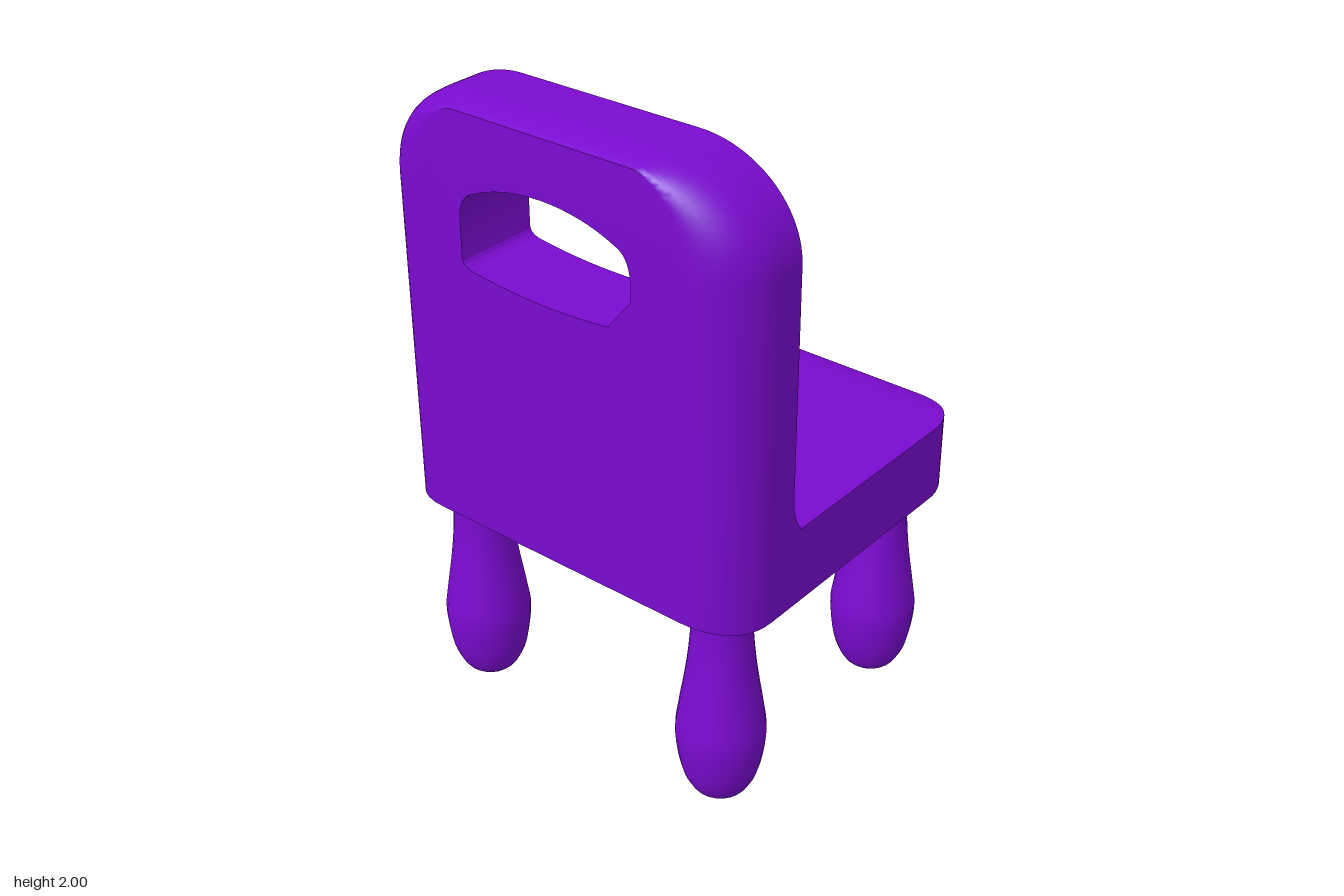
import * as THREE from 'three';
import { toCreasedNormals } from 'three/addons/utils/BufferGeometryUtils.js';

const W = 0.625, D = 0.57, R = 0.175; // half width, half depth, plan corner radius
const BASE = 0.68, SEAT = 0.92, TOP = 2.0;
const ARC_X = 0.3, ARC_Y = 1.72; // where the backrest's corner arcs begin

// Half width of the rounded plan outline at depth z
function halfWidth(z) {
  const t = Math.min(1, Math.max(0, (Math.abs(z) - (D - R)) / R));
  return W - R + R * Math.sqrt(1 - t * t);
}

// Extrudes a front outline along z, then rounds its plan corners and eases its end edges
function roundedSlab(shape, steps, zOf, ease) {
  const geo = new THREE.ExtrudeGeometry(shape, { depth: 1, steps, bevelEnabled: false, curveSegments: 16 });
  const p = geo.attributes.position;
  for (let i = 0; i < p.count; i++) {
    let x = p.getX(i), y = p.getY(i);
    const z = zOf(p.getZ(i));
    const ax = Math.abs(x);
    if (ax > ARC_X) x = Math.sign(x) * (ARC_X + (ax - ARC_X) * (halfWidth(z) - ARC_X) / (W - ARC_X));
    const t = Math.max(0, (Math.abs(z) - 0.46) / (D - 0.46));
    y = ease(y, 0.02 * t * t);
    p.setXYZ(i, x, y, z);
  }
  return toCreasedNormals(geo, 0.6);
}

function seatGeometry() {
  const s = new THREE.Shape();
  s.moveTo(-W, BASE);
  s.lineTo(W, BASE);
  s.lineTo(W, SEAT);
  s.lineTo(-W, SEAT);
  s.closePath();
  return roundedSlab(s, 28,
    u => -D + (D + 0.305) * (1 - Math.cos(u * Math.PI / 2)),
    (y, d) => (y < 0.8 ? y + d : y - d));
}

function backrestGeometry() {
  const s = new THREE.Shape();
  s.moveTo(-W, BASE);
  s.lineTo(W, BASE);
  s.lineTo(W, ARC_Y);
  s.absellipse(ARC_X, ARC_Y, W - ARC_X, TOP - ARC_Y, 0, Math.PI / 2, false);
  s.lineTo(-ARC_X, TOP);
  s.absellipse(-ARC_X, ARC_Y, W - ARC_X, TOP - ARC_Y, Math.PI / 2, Math.PI, false);
  s.closePath();

  // Hand hole with bowed top and bottom
  const h = new THREE.Path();
  h.moveTo(-0.26, 1.527);
  h.quadraticCurveTo(0, 1.491, 0.26, 1.527);
  h.quadraticCurveTo(0.293, 1.533, 0.293, 1.56);
  h.lineTo(0.293, 1.67);
  h.quadraticCurveTo(0.29, 1.74, 0.245, 1.757);
  h.bezierCurveTo(0.1, 1.826, -0.1, 1.826, -0.245, 1.757);
  h.quadraticCurveTo(-0.295, 1.74, -0.298, 1.67);
  h.lineTo(-0.298, 1.56);
  h.quadraticCurveTo(-0.298, 1.533, -0.26, 1.527);
  s.holes.push(h);

  return roundedSlab(s, 14,
    u => 0.305 + (D - 0.305) * Math.sin(u * Math.PI / 2),
    (y, d) => {
      if (y < 0.8) return y + d;
      return y > ARC_Y + 0.1 ? y - d * (y - ARC_Y - 0.1) / (TOP - ARC_Y - 0.1) : y;
    });
}

// Concave fillet between seat and backrest, drawn in (z, y) and run across x
function filletGeometry() {
  const s = new THREE.Shape();
  s.moveTo(0.268, SEAT);
  s.lineTo(0.305, SEAT);
  s.lineTo(0.305, 1.03);
  s.quadraticCurveTo(0.303, 0.965, 0.268, SEAT);
  const geo = new THREE.ExtrudeGeometry(s, { depth: 2 * W, bevelEnabled: false, curveSegments: 8 });
  geo.translate(0, 0, -W);
  geo.rotateY(-Math.PI / 2); // local x becomes z
  return toCreasedNormals(geo, 0.5);
}

// Turned leg, bulging near the foot
function legGeometry() {
  const curve = new THREE.SplineCurve([
    [0.05, 0], [0.085, 0.028], [0.116, 0.1], [0.132, 0.22], [0.122, 0.31],
    [0.102, 0.44], [0.09, 0.56], [0.085, 0.7],
  ].map(([r, y]) => new THREE.Vector2(r, y)));
  const profile = curve.getPoints(24);
  profile[0].y = 0;
  return new THREE.LatheGeometry([new THREE.Vector2(0, 0), ...profile], 24);
}

export function createModel() {
  const chair = new THREE.Group();
  chair.name = 'chair';
  const purple = new THREE.MeshStandardMaterial({ color: 0x7a0bd0 });
  const add = (name, geo) => {
    const mesh = new THREE.Mesh(geo, purple);
    mesh.name = name;
    chair.add(mesh);
    return mesh;
  };

  add('seat', seatGeometry());
  add('backrest', backrestGeometry());
  add('fillet', filletGeometry());

  const leg = legGeometry();
  for (const x of [-0.472, 0.452]) {
    for (const z of [-0.386, 0.386]) {
      add((x > 0 ? 'left' : 'right') + (z > 0 ? 'BackrestSideLeg' : 'SeatSideLeg'), leg).position.set(x, 0, z);
    }
  }
  return chair;
}
